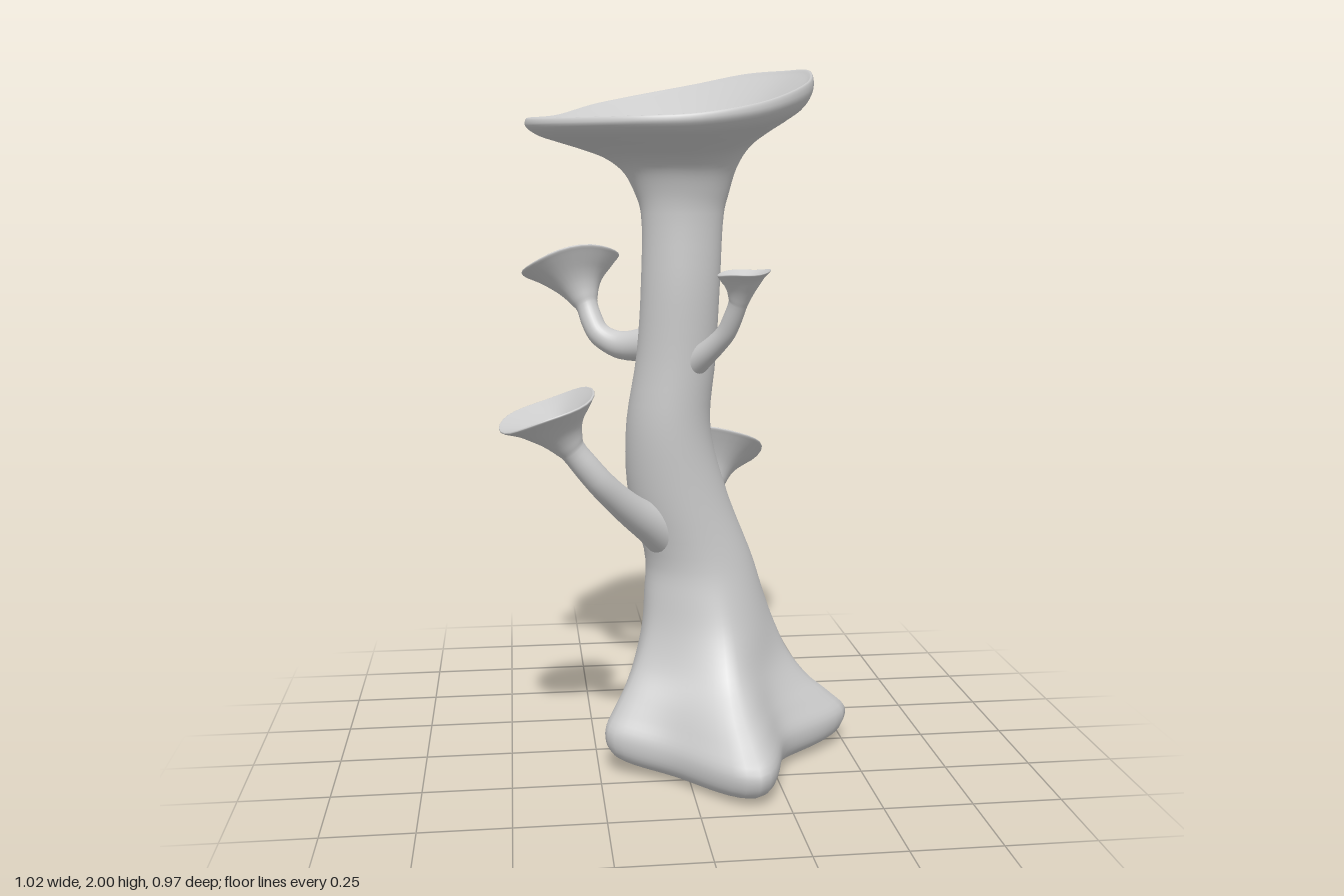
import * as THREE from 'three';

const V = (x, y, z) => new THREE.Vector3(x, y, z);
const material = new THREE.MeshStandardMaterial({ color: 0xcccccc, side: THREE.DoubleSide });

// Smooth skin over a stack of rings; each ring maps an angle to a point
function loft(name, rings, sides, rows) {
  const pos = [], index = [];
  for (let i = 0; i < sides; i++) {
    const a = (i / sides) * Math.PI * 2;
    const column = new THREE.CatmullRomCurve3(rings.map((ring) => ring(a)));
    for (let j = 0; j <= rows; j++) pos.push(...column.getPoint(j / rows).toArray());
  }
  for (let i = 0; i < sides; i++) {
    for (let j = 0; j < rows; j++) {
      const a = i * (rows + 1) + j, b = ((i + 1) % sides) * (rows + 1) + j;
      index.push(a, a + 1, b, b, a + 1, b + 1);
    }
  }
  const g = new THREE.BufferGeometry();
  g.setAttribute('position', new THREE.Float32BufferAttribute(pos, 3));
  g.setIndex(index);
  g.computeVertexNormals();
  const mesh = new THREE.Mesh(g, material);
  mesh.name = name;
  return mesh;
}

// Roots: angle around the trunk, extra reach, angular width, lift (the last is a raised hollow)
const roots = [
  [-0.1, 0.265, 0.42, 0.01],
  [1.33, 0.265, 0.4, 0],
  [2.68, 0.12, 0.4, 0.035],
  [4.62, 0.23, 0.32, -0.02],
  [3.65, -0.015, 0.5, 0.05],
];
function rootShape(a) {
  let reach = 0, lift = 0;
  for (const [angle, length, width, rise] of roots) {
    const d = Math.atan2(Math.sin(a - angle), Math.cos(a - angle));
    const weight = Math.exp(-((Math.hypot(d, 0.1) / width) ** 1.3));
    reach += length * weight;
    lift += rise * weight;
  }
  return { reach, lift };
}

// Trunk rings: y, centre x, centre z, radius x, radius z, root flare
const trunkRows = [
  [0.06, 0.06, 0.05, 0, 0, 0],
  [0.04, 0.06, 0.05, 0.13, 0.13, 0.35],
  [0.014, 0.06, 0.05, 0.19, 0.19, 0.75],
  [0.045, 0.06, 0.05, 0.215, 0.215, 0.95],
  [0.1, 0.06, 0.05, 0.22, 0.22, 1],
  [0.16, 0.06, 0.05, 0.21, 0.205, 0.8],
  [0.22, 0.06, 0.05, 0.2, 0.19, 0.55],
  [0.3, 0.065, 0.04, 0.19, 0.17, 0.31],
  [0.4, 0.07, 0.035, 0.18, 0.155, 0.13],
  [0.5, 0.065, 0.03, 0.17, 0.148, 0.04],
  [0.6, 0.055, 0.025, 0.157, 0.145, 0],
  [0.8, -0.01, 0.045, 0.143, 0.135, 0],
  [1.0, -0.04, 0.073, 0.12, 0.12, 0],
  [1.2, -0.02, 0.096, 0.112, 0.102, 0],
  [1.4, -0.01, 0.115, 0.11, 0.093, 0],
  [1.6, -0.005, 0.12, 0.115, 0.09, 0],
];
const trunkRings = trunkRows.map(([y, cx, cz, rx, rz, flare]) => (a) => {
  const { reach, lift } = rootShape(a);
  const r = flare * reach;
  return V(cx + (rx + r) * Math.cos(a), y + flare * lift, cz + (rz + r) * Math.sin(a));
});

// Cup profiles as (outward, upward): undersides run neck to rim, inside runs rim to bottom
const capUnderside = [[0.05, 0.2], [0.15, 0.42], [0.3, 0.56], [0.5, 0.655], [0.72, 0.74], [0.9, 0.82], [0.995, 0.92]];
const cupUnderside = [[0.07, 0.13], [0.16, 0.28], [0.29, 0.44], [0.47, 0.6], [0.69, 0.76], [0.9, 0.9], [1, 0.97]];
const inside = [[0.985, 1], [0.94, 0.95], [0.8, 0.79], [0.6, 0.56], [0.4, 0.35], [0.2, 0.14], [0, 0]];

// Rim of the large cap, starting at the +x side and passing the front
const capRim = new THREE.CatmullRomCurve3([
  V(0.36, 1.99, 0.06), V(0.325, 1.945, 0.225), V(0.18, 1.885, 0.375), V(0, 1.852, 0.43), V(-0.16, 1.845, 0.405),
  V(-0.33, 1.845, 0.285), V(-0.415, 1.85, 0.14), V(-0.428, 1.86, -0.02), V(-0.345, 1.875, -0.16),
  V(-0.225, 1.915, -0.29), V(-0.09, 1.945, -0.34), V(0.08, 1.975, -0.305), V(0.225, 2, -0.22), V(0.32, 2, -0.09),
], true);

function createTrunk() {
  const neck = trunkRings[trunkRings.length - 1];
  const bottom = V(0.01, 1.72, 0.1);
  const rim = (a) => capRim.getPoint((a / (Math.PI * 2)) % 1);
  const mix = (p, q, h, v) => V(
    THREE.MathUtils.lerp(p.x, q.x, h), THREE.MathUtils.lerp(p.y, q.y, v), THREE.MathUtils.lerp(p.z, q.z, h));
  // the underside hangs lower toward the tall back and +x edge
  const sag = (a) => 1.15 - 0.25 * Math.sin(a) + 0.15 * Math.cos(a);
  const rings = [
    ...trunkRings,
    ...capUnderside.map(([h, v]) => (a) => mix(neck(a), rim(a), h, v ** sag(a))),
    ...inside.map(([h, v]) => (a) => mix(bottom, rim(a), h, v)),
  ];
  return loft('trunkAndCap', rings, 80, 120);
}

// Side growth: curved stem ending in a tilted trumpet cup
function createSideCup(name, stemPoints, stemRadius, centre, normal, rimRadius) {
  const up = V(0, 1, 0), axis = normal.clone().normalize();
  const curve = new THREE.CatmullRomCurve3(stemPoints);
  const circle = (c, dir, r) => {
    const q = new THREE.Quaternion().setFromUnitVectors(up, dir);
    return (a) => V(Math.cos(a) * r, 0, Math.sin(a) * r).applyQuaternion(q).add(c);
  };
  const rings = [];
  for (let i = 0; i <= 6; i++) {
    const t = i / 6;
    const r = stemRadius * (1 + 0.9 * (1 - t) ** 3);
    rings.push(circle(curve.getPoint(t), curve.getTangent(t), r));
  }
  const neck = stemPoints[stemPoints.length - 1];
  const neckDir = curve.getTangent(1);
  const cup = ([h, v], from, fromRadius, lift) => {
    const dir = neckDir.clone().lerp(axis, Math.min(1, v * 1.3)).normalize();
    const r = THREE.MathUtils.lerp(fromRadius, rimRadius, h);
    const ring = circle(from.clone().lerp(centre, v), lift ? axis : dir, r);
    // gentle waviness toward the rim
    return (a) => ring(a).addScaledVector(axis, 0.035 * rimRadius * h * Math.sin(3 * a + centre.x * 9));
  };
  const bottom = neck.clone().lerp(centre, 0.6);
  rings.push(...cupUnderside.map((p) => cup(p, neck, stemRadius, false)));
  rings.push(...inside.map((p) => cup(p, bottom, 0, true)));
  return loft(name, rings, 28, 60);
}

export function createModel() {
  const group = new THREE.Group();
  group.name = 'trumpetFungus';
  group.add(createTrunk());
  group.add(createSideCup('rightFrontCup',
    [V(-0.05, 0.69, 0.08), V(-0.15, 0.77, 0.165), V(-0.245, 0.87, 0.235), V(-0.32, 0.965, 0.25)],
    0.037, V(-0.39, 1.078, 0.25), V(-0.38, 1, 0.08), 0.138));
  group.add(createSideCup('rightBackCup',
    [V(-0.04, 1.24, 0.08), V(-0.165, 1.222, 0), V(-0.23, 1.255, -0.035), V(-0.26, 1.33, -0.07)],
    0.032, V(-0.305, 1.45, -0.135), V(-0.2, 1, -0.38), 0.145));
  group.add(createSideCup('backCup',
    [V(0.085, 0.48, -0.03), V(0.11, 0.565, -0.16), V(0.12, 0.65, -0.225), V(0.13, 0.74, -0.275)],
    0.042, V(0.14, 0.858, -0.345), V(0.12, 1, -0.62), 0.165));
  group.add(createSideCup('frontCup',
    [V(-0.01, 1.15, 0.11), V(0.05, 1.215, 0.19), V(0.1, 1.28, 0.245), V(0.125, 1.36, 0.283)],
    0.026, V(0.138, 1.445, 0.305), V(-0.08, 1, 0.04), 0.072));
  return group;
}
